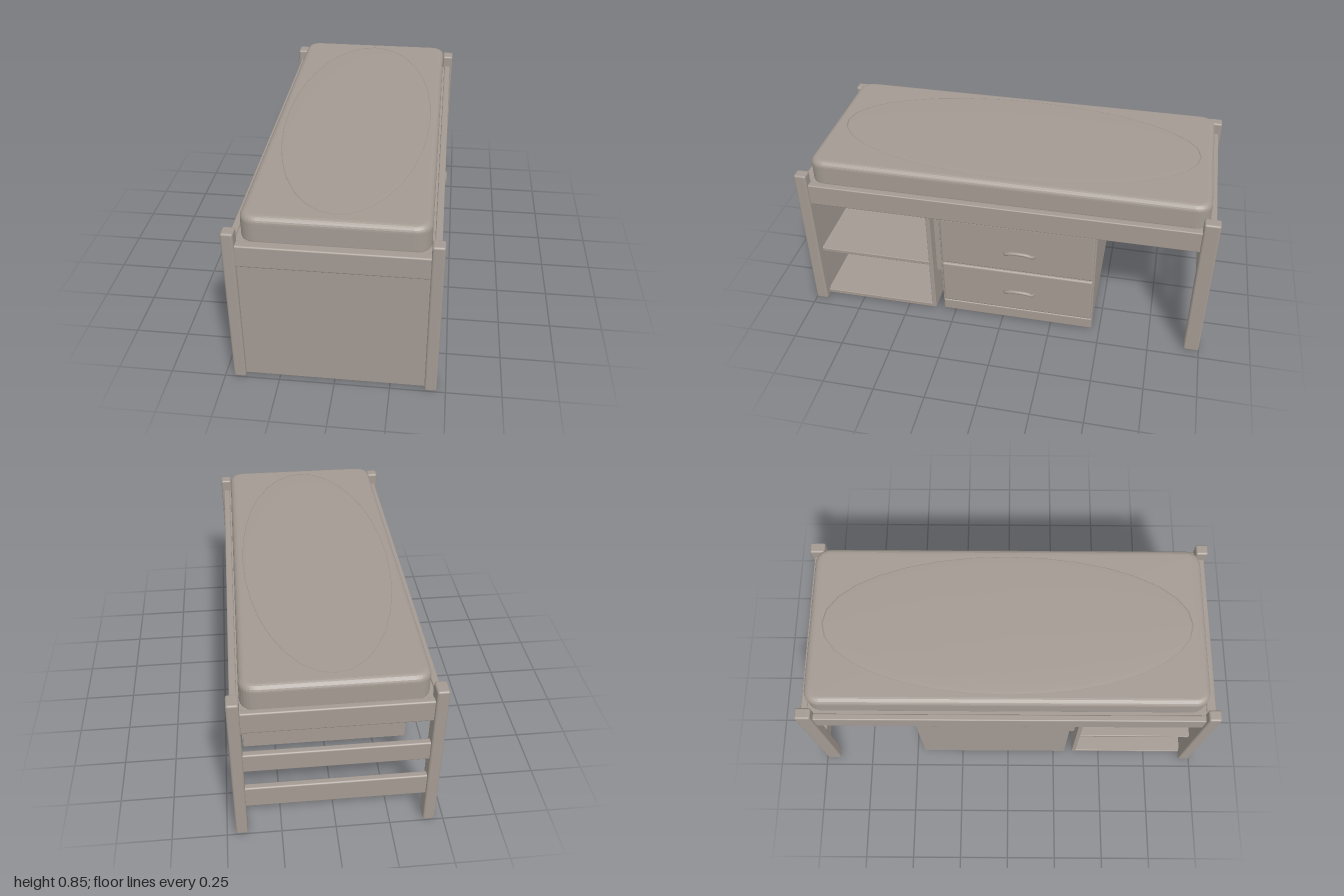
import * as THREE from 'three';
import { RoundedBoxGeometry } from 'three/addons/geometries/RoundedBoxGeometry.js';

export function createModel() {
  const bed = new THREE.Group();
  bed.name = 'cabinBed';
  const wood = new THREE.MeshStandardMaterial({ color: 0xa39a92 });
  wood.name = 'warmGrey';

  function add(name, geometry, parent = bed) {
    const mesh = new THREE.Mesh(geometry, wood);
    mesh.name = name;
    parent.add(mesh);
    return mesh;
  }

  // Softly rounded board given by its extents on each axis
  function board(name, [x0, x1], [y0, y1], [z0, z1], radius = 0.005, parent = bed) {
    const size = [x1 - x0, y1 - y0, z1 - z0];
    const r = Math.min(radius, Math.min(...size) * 0.45);
    const mesh = add(name, new RoundedBoxGeometry(...size, 3, r), parent);
    mesh.position.set((x0 + x1) / 2, (y0 + y1) / 2, (z0 + z1) / 2);
    return mesh;
  }

  // Corner posts and side rails
  for (const side of [-1, 1]) {
    const span = (a, b) => (side > 0 ? [a, b] : [-b, -a]);
    board('frontPost', span(0.405, 0.46), [0, 0.79], [0.94, 1], 0.01);
    board('backPost', span(0.405, 0.46), [0, 0.79], [-1, -0.925], 0.01);
    board('sideRail', span(0.415, 0.447), [0.62, 0.73], [-0.95, 0.96], 0.006);
  }

  // Closed front end
  board('frontRail', [-0.42, 0.42], [0.62, 0.727], [0.945, 0.992], 0.008);
  board('frontPanel', [-0.42, 0.42], [0.01, 0.63], [0.945, 0.982]);

  // Open ladder back end
  for (const [y0, y1] of [[0.62, 0.73], [0.39, 0.49], [0.17, 0.285]]) {
    board('backRail', [-0.42, 0.42], [y0, y1], [-0.988, -0.955], 0.008);
  }

  // Deck under the mattress
  board('deck', [-0.42, 0.42], [0.628, 0.722], [-0.96, 0.95], 0.002);

  // Mattress: rounded plan, soft top edge, faint crown
  const w = 0.37, l = 0.92, c = 0.045;
  const plan = new THREE.Shape();
  plan.moveTo(-w + c, -l);
  plan.lineTo(w - c, -l);
  plan.quadraticCurveTo(w, -l, w, -l + c);
  plan.lineTo(w, l - c);
  plan.quadraticCurveTo(w, l, w - c, l);
  plan.lineTo(-w + c, l);
  plan.quadraticCurveTo(-w, l, -w, l - c);
  plan.lineTo(-w, -l + c);
  plan.quadraticCurveTo(-w, -l, -w + c, -l);
  const padding = new THREE.ExtrudeGeometry(plan, {
    depth: 0.085, bevelThickness: 0.03, bevelSize: 0.032, bevelSegments: 6, curveSegments: 8,
  });
  padding.rotateX(-Math.PI / 2);
  add('mattress', padding).position.set(0.003, 0.727, -0.005);
  const crown = new THREE.SphereGeometry(1, 32, 8, 0, Math.PI * 2, 0, Math.PI / 2);
  crown.scale(0.36, 0.005, 0.9);
  add('mattressCrown', crown).position.set(0.003, 0.8415, -0.005);

  // Open bookcase behind the front panel
  board('bookcaseBase', [-0.42, 0.42], [0.01, 0.032], [0.352, 0.96], 0.003);
  board('bookcaseShelf', [-0.41, 0.41], [0.29, 0.31], [0.36, 0.96], 0.003);
  board('bookcaseDivider', [-0.42, 0.42], [0.01, 0.63], [0.352, 0.374], 0.003);
  board('spacer', [-0.36, 0.36], [0.22, 0.63], [0.305, 0.355], 0.002);

  // Drawer chest opening towards +x
  const chest = new THREE.Group();
  chest.name = 'drawerChest';
  bed.add(chest);
  board('chestBody', [-0.42, 0.41], [0.01, 0.632], [-0.46, 0.312], 0.004, chest);
  board('plinth', [0.39, 0.415], [0.01, 0.072], [-0.457, 0.309], 0.006, chest);
  for (const [y0, y1, handleY] of [[0.08, 0.328, 0.215], [0.335, 0.61, 0.465]]) {
    board('drawerFront', [0.395, 0.424], [y0, y1], [-0.452, 0.304], 0.01, chest);
    // Bowed pull handle
    const path = new THREE.CatmullRomCurve3([
      new THREE.Vector3(0.415, handleY - 0.022, -0.015),
      new THREE.Vector3(0.442, handleY - 0.008, -0.025),
      new THREE.Vector3(0.45, handleY + 0.006, -0.055),
      new THREE.Vector3(0.45, handleY + 0.006, -0.125),
      new THREE.Vector3(0.442, handleY - 0.008, -0.155),
      new THREE.Vector3(0.415, handleY - 0.022, -0.165),
    ]);
    add('drawerHandle', new THREE.TubeGeometry(path, 32, 0.009, 10), chest);
  }

  return bed;
}
